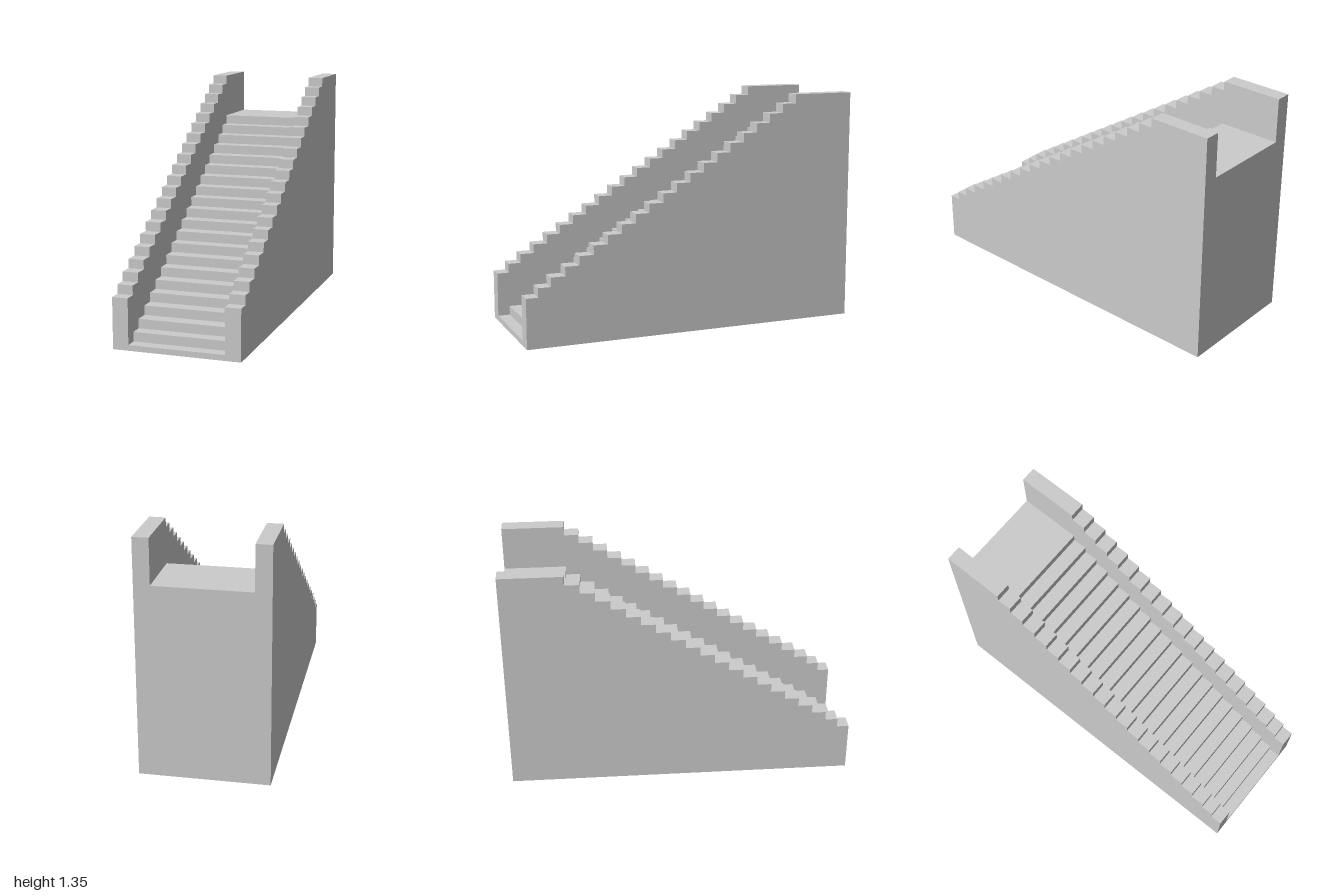
import * as THREE from 'three';

const material = new THREE.MeshStandardMaterial({ color: 0xcccccc, flatShading: true });

const RISERS = 20;
const RISE = 0.0531;

// z of each riser, front to back: a shorter first tread, then an even run
const riserZ = (i) => (i === 0 ? 0.93 : 0.857 - ((i - 1) * (0.857 + 0.637)) / (RISERS - 1 - 1));

// Solid stepped block: side profile extruded across x
function steppedBlock(name, width, firstHeight, topHeight, x) {
  const rise = (topHeight - firstHeight) / RISERS;
  const shape = new THREE.Shape();
  shape.moveTo(-1, 0);
  shape.lineTo(1, 0);
  shape.lineTo(1, firstHeight);
  for (let i = 0; i < RISERS; i++) {
    shape.lineTo(riserZ(i), firstHeight + i * rise);
    shape.lineTo(riserZ(i), firstHeight + (i + 1) * rise);
  }
  shape.lineTo(-1, topHeight);
  shape.closePath();

  const geometry = new THREE.ExtrudeGeometry(shape, { depth: width, bevelEnabled: false });
  geometry.translate(0, 0, -width / 2);
  geometry.rotateY(-Math.PI / 2); // profile x becomes world z
  const mesh = new THREE.Mesh(geometry, material);
  mesh.name = name;
  mesh.position.x = x;
  return mesh;
}

export function createModel() {
  const group = new THREE.Group();
  group.name = 'staircase';

  // Flight of steps with the landing at the back
  const flightWidth = 0.546;
  const firstStep = 0.032;
  group.add(steppedBlock('stairFlight', flightWidth, firstStep, firstStep + RISERS * RISE, 0));

  // Stepped side walls
  const wallWidth = 0.09;
  const wallX = (flightWidth + wallWidth) / 2;
  for (const [name, side] of [['leftWall', 1], ['rightWall', -1]]) {
    group.add(steppedBlock(name, wallWidth, 0.29, 1.351, side * wallX));
  }

  return group;
}
